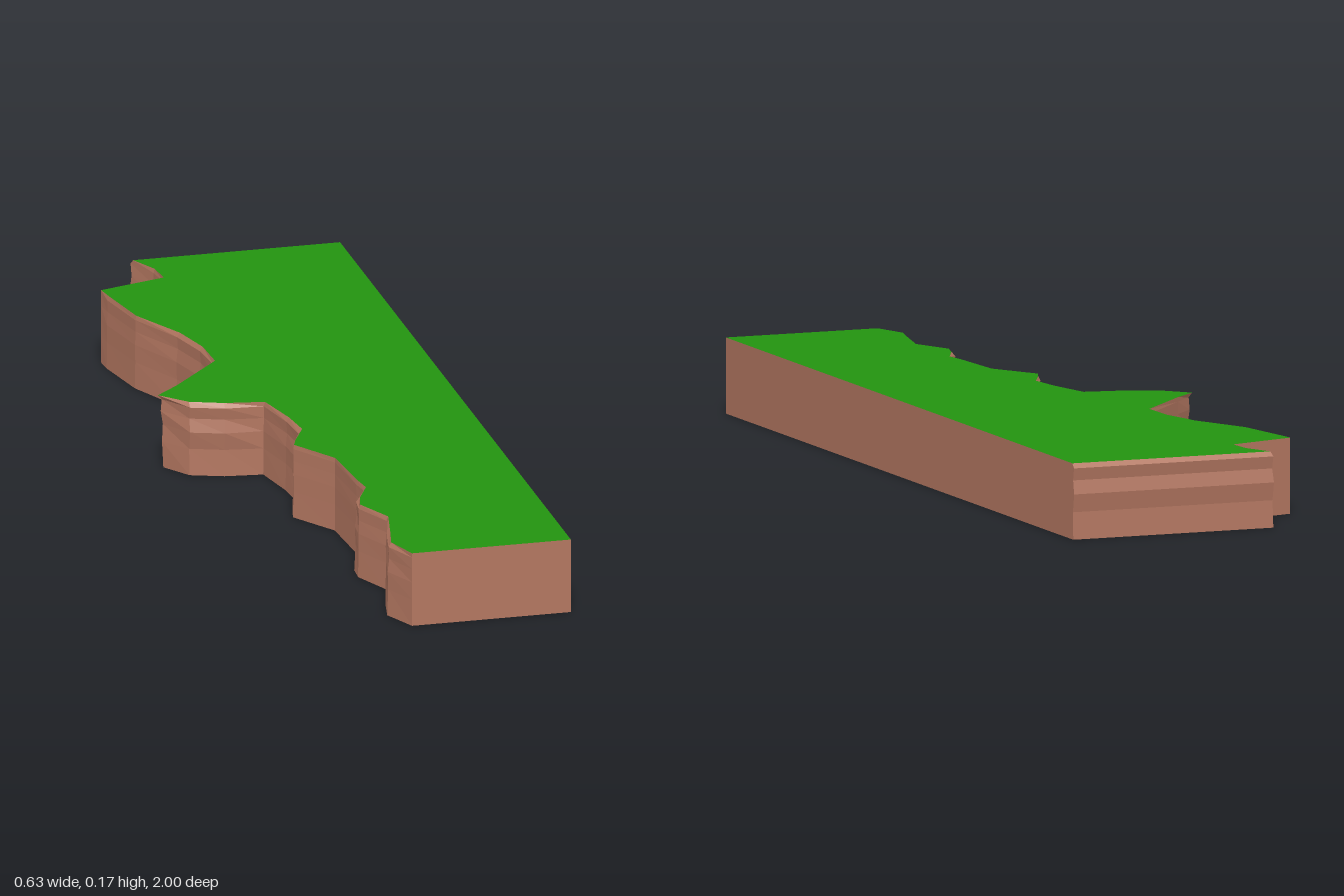
import * as THREE from 'three';

// Eroded edge, front to back: [x, z, sideways lean, forward bulge]
const cliff = [
  [-0.04, 1, 0, 0], [-0.066, 0.92, 0.009, 0], [-0.05, 0.85, 0.011, 0], [-0.03, 0.755, 0.006, 0],
  [-0.07, 0.665, 0.004, 0], [-0.058, 0.62, 0.013, 0], [-0.029, 0.56, 0.004, 0], [-0.036, 0.51, 0.003, 0],
  [-0.046, 0.36, 0.001, 0], [-0.111, 0.255, 0.002, 0], [-0.1, 0.225, 0.007, 0], [-0.068, 0.16, 0.012, 0],
  [-0.077, 0.08, 0.008, 0], [-0.102, -0.03, 0.004, 0], [-0.19, -0.045, 0, 0.01], [-0.262, -0.072, 0, 0.012],
  [-0.316, -0.13, -0.012, 0], [-0.262, -0.18, 0, 0], [-0.14, -0.315, 0.004, 0], [-0.143, -0.41, 0.009, 0],
  [-0.168, -0.51, 0.009, 0], [-0.232, -0.64, 0.003, 0], [-0.258, -0.78, 0.004, 0], [-0.264, -0.82, 0, 0],
  [-0.112, -0.865, 0, 0], [-0.117, -0.925, 0.003, 0], [-0.148, -0.99, 0.005, -0.01],
];
const outline = [...cliff, [0.316, -0.99, 0, -0.01], [0.316, 1, 0, 0]];

// Heights with the share of lean and bulge reached at each
const levels = [
  { y: 0, lean: 1, bulge: 0.5 }, { y: 0.06, lean: 0.75, bulge: 0.3 }, { y: 0.1, lean: 0.9, bulge: 1 },
  { y: 0.13, lean: 0.5, bulge: 0.4 }, { y: 0.157, lean: 0.7, bulge: 0.9 }, { y: 0.167, lean: 0, bulge: 0 },
];
const ringAt = ({ y, lean, bulge }) =>
  outline.map(([x, z, dx, dz]) => [x - dx * lean, y, z + dz * bulge]);

// Flat-shaded strips between neighbouring rings
function wallGeometry(rings) {
  const pos = [];
  for (let l = 0; l < rings.length - 1; l++) {
    const lo = rings[l], hi = rings[l + 1];
    for (let i = 0; i < lo.length; i++) {
      const j = (i + 1) % lo.length;
      pos.push(...lo[i], ...hi[i], ...hi[j], ...lo[i], ...hi[j], ...lo[j]);
    }
  }
  const geo = new THREE.BufferGeometry();
  geo.setAttribute('position', new THREE.Float32BufferAttribute(pos, 3));
  geo.computeVertexNormals();
  return geo;
}

// Flat cap filling one ring; side is 1 for facing up, -1 for facing down
function capGeometry(ring, side) {
  const shape = new THREE.Shape(ring.map(([x, , z]) => new THREE.Vector2(x, -side * z)));
  return new THREE.ShapeGeometry(shape).rotateX(-side * Math.PI / 2).translate(0, ring[0][1], 0);
}

export function createModel() {
  const grass = new THREE.MeshStandardMaterial({ color: 0x239310 });
  grass.name = 'grass green';
  const earth = new THREE.MeshStandardMaterial({ color: 0xb27660 });
  earth.name = 'earth brown';

  const group = new THREE.Group();
  group.name = 'cliffEdgeTile';
  const add = (name, geo, mat) => {
    const mesh = new THREE.Mesh(geo, mat);
    mesh.name = name;
    group.add(mesh);
  };
  const rings = levels.map(ringAt);
  add('earthWalls', wallGeometry(rings), earth);
  add('grassTop', capGeometry(rings[rings.length - 1], 1), grass);
  add('earthUnderside', capGeometry(rings[0], -1), earth);
  return group;
}
